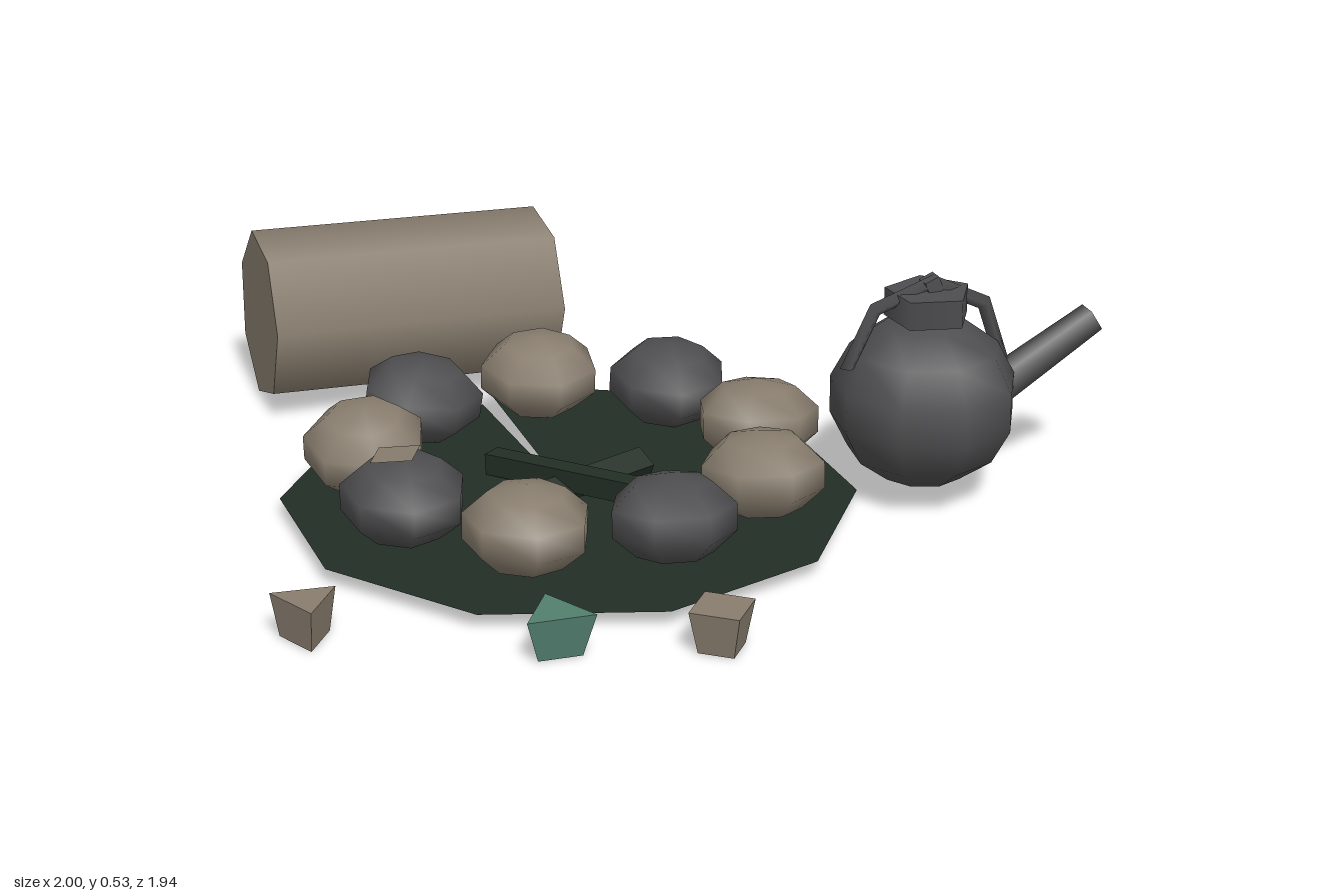
import * as THREE from 'three';

const mat = (name, color) => {
  const m = new THREE.MeshStandardMaterial({ color });
  m.name = name;
  return m;
};

export function createModel() {
  const group = new THREE.Group();
  const tan = mat('tan', 0x887d6e);
  const gray = mat('charcoal gray', 0x4e4e50);
  const green = mat('dark green', 0x222e25);
  green.side = THREE.DoubleSide;
  const teal = mat('teal', 0x52806f);

  const add = (name, geo, material, x, y, z, parent = group) => {
    const mesh = new THREE.Mesh(geo, material);
    mesh.name = name;
    mesh.position.set(x, y, z);
    parent.add(mesh);
    return mesh;
  };
  let seed = 7;
  const rand = () => (seed = (seed * 16807) % 2147483647) / 2147483647;

  // Ten-sided ground sheet, split and lifted along its back seam
  const sheet = new THREE.CircleGeometry(0.65, 10, Math.PI / 2).rotateX(-Math.PI / 2);
  const p = sheet.attributes.position;
  for (let i = 0; i < p.count; i++) p.setY(i, 0.036);
  p.setY(1, 0.01);
  p.setY(p.count - 1, 0.065);
  sheet.computeVertexNormals();
  add('groundSheet', sheet, green, -0.21, 0, 0.11);

  // Crossed sticks in the middle
  const stickA = add('stick', new THREE.BoxGeometry(0.43, 0.05, 0.05), green, -0.21, 0.075, 0.1);
  stickA.rotation.set(0, -0.96, 0.06);
  const stickB = add('stick', new THREE.BoxGeometry(0.45, 0.05, 0.06), green, -0.22, 0.045, 0.11);
  stickB.rotation.set(0.5, 0.29, -0.1);

  // Ring of nine stones
  const stoneColors = [tan, tan, gray, tan, gray, tan, gray, tan, gray];
  stoneColors.forEach((material, i) => {
    const a = (i * 40 * Math.PI) / 180;
    const stone = add('ringStone', new THREE.SphereGeometry(1, 7, 5), material,
      -0.21 + 0.455 * Math.cos(a), 0.155, 0.11 + 0.455 * Math.sin(a));
    stone.scale.set(0.148, 0.097, 0.145);
    stone.rotation.set((rand() - 0.5) * 0.3, rand() * 6, (rand() - 0.5) * 0.3);
  });
  // Pale facet on one stone
  const facet = new THREE.CircleGeometry(0.065, 4).rotateX(-Math.PI / 2);
  const pale = add('stoneFacet', facet, tan, -0.65, 0.252, 0.25);
  pale.rotation.set(-0.1, 0.3, 0.1);

  // Seven-sided log
  const log = add('log', new THREE.CylinderGeometry(0.208, 0.208, 0.715, 7, 1, false, 4.4)
    .rotateZ(-Math.PI / 2), tan, -0.342, 0.212, -0.776);
  log.rotation.set(0, -0.024, -0.018);

  // Kettle
  const kettle = new THREE.Group();
  kettle.name = 'kettle';
  kettle.position.set(0.57, 0.235, 0.303);
  group.add(kettle);
  const body = add('kettleBody', new THREE.SphereGeometry(0.217, 9, 7), gray, 0, 0, 0, kettle);
  body.scale.y = 0.92;
  body.rotation.y = 0.2;
  const lid = add('kettleLid', new THREE.CylinderGeometry(0.1, 0.1, 0.065, 5), gray, 0.005, 0.225, 0, kettle);
  lid.rotation.y = 0.4;
  add('kettleKnob', new THREE.BoxGeometry(0.035, 0.035, 0.035), gray, 0.01, 0.27, 0, kettle).rotation.z = 0.4;
  // Angular carrying handle over the lid
  const handle = add('kettleHandle', new THREE.TorusGeometry(0.19, 0.018, 4, 4, Math.PI), gray, 0.0, 0.085, 0, kettle);
  handle.rotation.z = -0.06;
  // Spout rising outward
  const spout = add('kettleSpout', new THREE.CylinderGeometry(0.037, 0.047, 0.29, 4, 1, false, Math.PI / 4)
    .rotateZ(-Math.PI / 2), gray, 0.292, 0.068, 0, kettle);
  spout.rotation.set(0, -0.06, 0.56);

  // Loose pebbles, wider at the top
  const pebble = (sides, material, x, z, top, bottom, turn) => {
    const geo = new THREE.CylinderGeometry(top, bottom, 0.095, sides).toNonIndexed();
    geo.computeVertexNormals();
    add('pebble', geo, material, x, 0.0475, z).rotation.y = turn;
  };
  pebble(3, tan, -0.932, 0.555, 0.079, 0.06, -0.1);
  pebble(3, teal, -0.47, 0.79, 0.085, 0.055, 1.0);
  pebble(4, tan, -0.147, 0.885, 0.077, 0.055, 0.1);

  return group;
}
